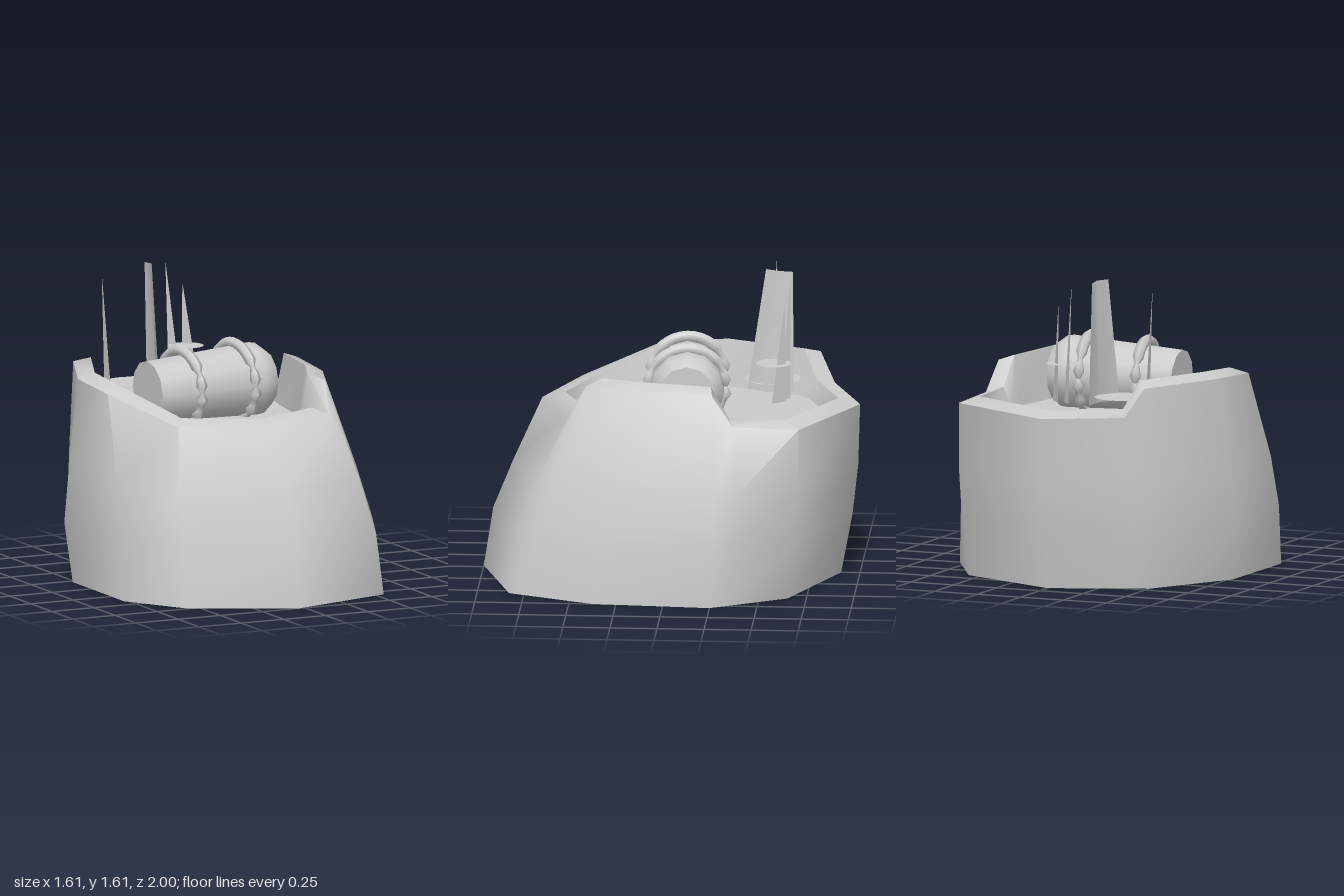
import * as THREE from 'three';
import { toCreasedNormals } from 'three/addons/utils/BufferGeometryUtils.js';

const grey = new THREE.MeshStandardMaterial({ color: 0xcccccc });
const greyThin = new THREE.MeshStandardMaterial({ color: 0xcccccc, side: THREE.DoubleSide });

function addMesh(group, name, geometry, material = grey) {
  const mesh = new THREE.Mesh(geometry, material);
  mesh.name = name;
  group.add(mesh);
  return mesh;
}

function indexed(points, faces) {
  const g = new THREE.BufferGeometry();
  g.setAttribute('position', new THREE.Float32BufferAttribute(points.flat(), 3));
  g.setIndex(faces.flat());
  g.computeVertexNormals();
  return g;
}

// Ten-cornered outlines [x, z] from the bow round the +x side
const levels = [
  { y: 0.01, p: [[-.03, 1], [.55, .83], [.75, .38], [.8, -.25], [.57, -.65], [0, -.9], [-.5, -.7], [-.77, -.22], [-.775, .4], [-.57, .74]] },
  { y: 0.33, p: [[-.03, .95], [.53, .78], [.73, .33], [.785, -.27], [.59, -.69], [0, -.96], [-.51, -.76], [-.805, -.25], [-.78, .36], [-.57, .69]] },
  { y: 0.6, p: [[-.04, .84], [.48, .69], [.67, .26], [.725, -.28], [.6, -.71], [-.01, -.99], [-.51, -.79], [-.78, -.25], [-.76, .3], [-.55, .61]] },
];
// Rim: x, y, z and the (fractional) outline corner below; raised on both flanks
const rim = [
  [-.06, .93, .69, 0], [.38, .94, .53, 1], [.40, 1.11, .43, 1.2], [.5, 1.115, .2, 2],
  [.575, 1.11, -.25, 3], [.6, .95, -.36, 3.25], [.6, .94, -.71, 4], [-.01, .93, -1, 5],
  [-.42, .94, -.84, 5.85], [-.5, 1.09, -.76, 6], [-.71, 1.09, -.28, 7], [-.72, 1.07, .1, 8],
  [-.5, .94, .5, 9],
];

function hullGeometry() {
  const points = [], faces = [], n = rim.length;
  for (const { y, p } of levels) {
    for (const r of rim) {
      const k = Math.floor(r[3]), t = r[3] - k, a = p[k], b = p[(k + 1) % 10];
      points.push([a[0] + (b[0] - a[0]) * t, y, a[1] + (b[1] - a[1]) * t]);
    }
  }
  const inset = (s, yOf) => rim.forEach(([x, y, z]) =>
    points.push([-.05 + (x + .05) * s, yOf(y), -.17 + (z + .17) * s]));
  inset(1, y => y);
  inset(.86, y => y + .03);   // rounded lip
  inset(.8, () => .87);       // foot of the inner wall
  const rows = levels.length + 3;
  for (let i = 0; i < rows - 1; i++) {
    for (let j = 0; j < n; j++) {
      const a = i * n + j, b = i * n + (j + 1) % n;
      faces.push([a, b, b + n], [a, b + n, a + n]);
    }
  }
  // Base and deck
  const base = points.push([0, .01, .05]) - 1;
  const deck = points.push([-.05, .87, -.17]) - 1;
  const top = (rows - 1) * n;
  for (let j = 0; j < n; j++) {
    const k = (j + 1) % n;
    faces.push([base, k, j], [deck, top + j, top + k]);
  }
  return toCreasedNormals(indexed(points, faces), 1.05);
}

// Torus in the yz plane whose tube is plain on top and beaded down the sides
function strapGeometry(radius) {
  const g = new THREE.TorusGeometry(radius, .03, 6, 36);
  const pos = g.attributes.position, uv = g.attributes.uv;
  for (let i = 0; i < pos.count; i++) {
    const a = uv.getX(i) * Math.PI * 2;
    const fromTop = Math.abs(Math.atan2(Math.cos(a), Math.sin(a)));
    const s = fromTop < .95 ? 1 : .75 + .45 * Math.cos((fromTop - .95) * 14 + 1);
    const cx = Math.cos(a) * radius, cy = Math.sin(a) * radius;
    pos.setXYZ(i, cx + (pos.getX(i) - cx) * s, cy + (pos.getY(i) - cy) * s, pos.getZ(i) * s);
  }
  g.rotateY(Math.PI / 2);
  g.computeVertexNormals();
  return g;
}

function barrel() {
  const group = new THREE.Group();
  group.name = 'strappedBarrel';
  // Tapered drum lying along x, bevelled at the wide end
  const profile = [[0, -.36], [.165, -.36], [.2, .25], [.195, .29], [.15, .35], [0, .35]]
    .map(([r, h]) => new THREE.Vector2(r, h));
  const drum = new THREE.LatheGeometry(profile, 12);
  drum.rotateZ(-Math.PI / 2);
  addMesh(group, 'barrelDrum', toCreasedNormals(drum, .7));
  for (const [x, r] of [[-.155, .2], [.165, .207]]) {
    const strap = addMesh(group, 'barrelStrap', strapGeometry(r));
    strap.position.x = x;
    strap.rotation.y = .08;
  }
  group.position.set(-.045, 1.04, -.08);
  group.rotation.set(0, .05, .02);
  return group;
}

export function createModel() {
  const model = new THREE.Group();
  model.name = 'tower';
  addMesh(model, 'hull', hullGeometry());
  model.add(barrel());

  // Round plates on the rear deck
  for (const [x, y, z, r] of [[-.265, 1, -.52, .15], [.06, 1.165, -.545, .095]]) {
    const disc = new THREE.CircleGeometry(r, 16);
    disc.rotateX(-Math.PI / 2);
    addMesh(model, 'deckPlate', disc, greyThin).position.set(x, y, z);
  }

  // Tall curved mast fin
  addMesh(model, 'mastFin', indexed([
    [-.19, .96, -.39], [-.12, .96, -.5], [-.125, .96, -.64],
    [-.17, 1.62, -.49], [-.135, 1.62, -.56], [-.14, 1.615, -.635],
  ], [[0, 4, 1], [0, 3, 4], [1, 5, 2], [1, 4, 5]]), greyThin);

  // Thin pointed blades
  const blades = [
    [[-.41, .96, -.49], [-.415, .96, -.56], [-.445, 1.6, -.53]],
    [[0, .96, -.63], [.045, .96, -.58], [-.02, 1.62, -.63]],
    [[.07, .96, -.61], [.13, .96, -.54], [.068, 1.5, -.605]],
  ];
  for (const blade of blades) addMesh(model, 'blade', indexed(blade, [[0, 1, 2]]), greyThin);

  return model;
}
